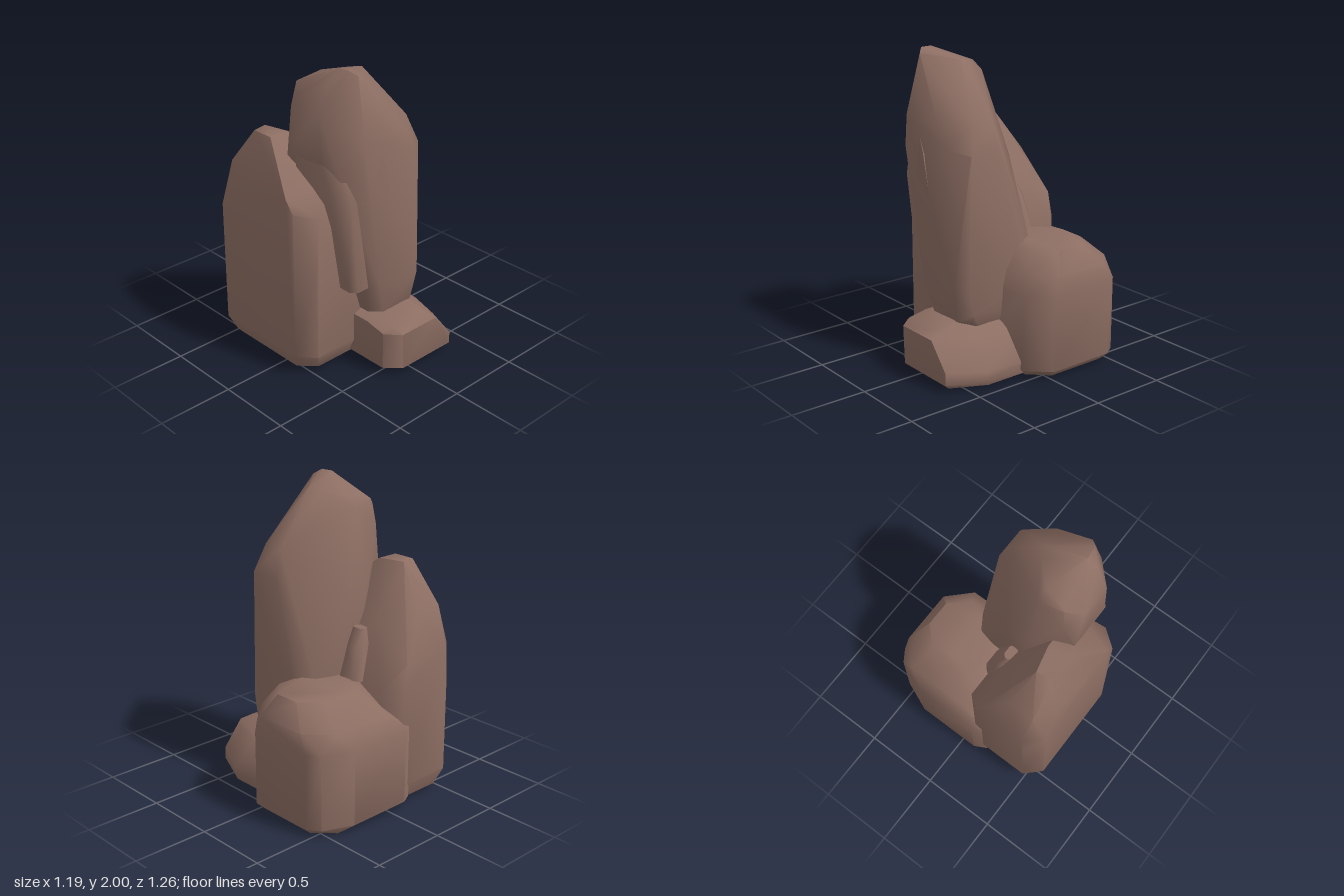
import * as THREE from 'three';
import { ConvexGeometry } from 'three/addons/geometries/ConvexGeometry.js';
import { toCreasedNormals } from 'three/addons/utils/BufferGeometryUtils.js';

const stone = new THREE.MeshStandardMaterial({ color: 0x8d6e63 });
stone.name = 'brown stone';

// Chamfered rectangle at height y
function ring([y, x0, x1, z0, z1, c]) {
  return [
    [x0 + c, y, z0], [x1 - c, y, z0], [x1, y, z0 + c], [x1, y, z1 - c],
    [x1 - c, y, z1], [x0 + c, y, z1], [x0, y, z1 - c], [x0, y, z0 + c],
  ];
}

// Hewn rock: hull of chamfered rings and single corner points, softened edges
function rock(name, rings, corners) {
  const points = [...rings.flatMap(ring), ...corners].map((p) => new THREE.Vector3(...p));
  const mesh = new THREE.Mesh(toCreasedNormals(new ConvexGeometry(points), 0.9), stone);
  mesh.name = name;
  return mesh;
}

export function createModel() {
  const group = new THREE.Group();
  group.name = 'rockCluster';

  // Tall leaning pillar
  group.add(rock('pillar', [
    [0.36, -0.14, 0.24, -0.08, 0.42, 0.07],
    [0.57, -0.2, 0.26, -0.12, 0.455, 0.07],
  ], [
    [-0.02, 0.28, 0], [0.2, 0.28, 0], [0.22, 0.29, 0.28], [0.26, 0.42, 0.36],
    // widest part
    [0.26, 0.82, -0.03], [0.2, 0.8, -0.13], [0.04, 0.9, -0.17], [-0.15, 0.98, -0.17],
    [-0.05, 1.3, -0.17], [-0.2, 1.3, -0.17],
    [0.26, 1.42, 0.16], [0.26, 1.42, 0.37], [0.14, 1.45, 0.455],
    [-0.45, 1.42, -0.03], [-0.45, 1.45, 0.27], [-0.4, 1.42, 0.36], [-0.3, 1.4, 0.455],
    // shoulders
    [-0.28, 1.6, 0.455], [0.05, 1.58, 0.455], [0.21, 1.6, 0.17], [0.2, 1.6, 0.32],
    [-0.45, 1.8, 0.03], [-0.45, 1.78, 0.25], [-0.38, 1.7, -0.07], [-0.2, 1.83, -0.07],
    // crown
    [-0.3, 2.0, 0.25], [-0.29, 2.0, 0.33], [-0.25, 1.97, 0.37], [-0.37, 1.93, 0.26],
    [-0.06, 1.94, 0.2], [-0.08, 1.92, 0.12], [-0.2, 1.9, 0.0], [-0.36, 1.86, -0.04],
  ]));

  // Slab merging into the pillar's side, ending in a step
  group.add(rock('pillarSlab', [
    [0.57, -0.31, -0.1, -0.03, 0.4, 0.04],
    [1.2, -0.41, -0.1, -0.06, 0.415, 0.06],
    [1.42, -0.452, -0.1, -0.04, 0.37, 0.09],
  ], [[-0.42, 1.7, 0.2], [-0.42, 1.7, 0.05]]));

  // Raised sliver on the pillar's front
  group.add(rock('pillarRidge', [], [
    [-0.2, 1.61, 0.445], [-0.04, 1.02, 0.45], [-0.1, 1.38, 0.463],
    [-0.13, 1.25, 0.463], [-0.28, 1.2, 0.44], [-0.1, 1.38, 0.42],
  ]));

  // Medium rock behind on the right
  group.add(rock('mediumRock', [
    [0.14, -0.6, -0.01, -0.6, 0.28, 0.1],
    [0.03, -0.55, -0.02, -0.56, 0.23, 0.1],
    [0.78, -0.6, -0.01, -0.6, 0.28, 0.1],
  ], [
    [-0.6, 0.97, -0.5], [-0.48, 0.98, -0.6], [-0.14, 0.95, -0.59],
    [-0.6, 1.22, -0.14], [-0.6, 1.22, 0.12], [-0.6, 1.14, 0.18], [-0.57, 1.22, -0.36],
    [-0.48, 1.1, 0.28], [-0.5, 1.24, -0.51], [-0.32, 1.24, -0.5],
    [-0.48, 1.5, -0.15], [-0.48, 1.5, -0.3], [-0.38, 1.5, -0.32], [-0.34, 1.5, -0.15],
    [-0.3, 1.28, 0.2], [-0.15, 1.15, -0.3], [-0.25, 1.22, -0.42], [-0.17, 0.99, -0.53],
  ]));

  // Small knob on the medium rock
  group.add(rock('knob', [
    [0.8, -0.12, 0.035, -0.33, -0.14, 0.04],
    [1.0, -0.14, -0.02, -0.3, -0.15, 0.04],
    [1.11, -0.14, -0.08, -0.26, -0.16, 0.02],
  ], []));

  // Broad low boulder, with a wider bevel at its back corner
  group.add(rock('lowBoulder', [
    [0, -0.17, 0.54, -0.57, 0.08, 0.12],
    [0.66, -0.14, 0.585, -0.57, 0.1, 0.15],
    [0.8, -0.02, 0.5, -0.41, 0.0, 0.12],
  ], [
    ...[0.05, 0.54].flatMap((y) => [
      [-0.18, y, -0.59], [-0.1, y, -0.632], [0.34, y, -0.632], [0.54, y, -0.55],
      [0.592, y, -0.47], [0.592, y, -0.01], [0.46, y, 0.13], [-0.1, y, 0.13], [-0.19, y, 0.05],
    ]),
    [0.25, 0.82, -0.38], [0.25, 0.82, -0.06], [0.05, 0.815, -0.25],
  ]));

  // Flat stone at the front
  group.add(rock('frontStone', [], [
    [-0.19, 0.05, 0.54], [-0.1, 0.05, 0.632], [0.33, 0.05, 0.632], [0.33, 0.13, 0.632],
    [0.44, 0.06, 0.39], [0.44, 0.11, 0.39], [0.44, 0.11, 0.05],
    [-0.16, 0.02, 0.5], [-0.08, 0.02, 0.59], [0.32, 0.02, 0.6], [0.43, 0.02, 0.38], [0.43, 0.02, 0.0],
    [-0.19, 0.05, 0.0], [-0.16, 0.02, 0.0],
    [-0.19, 0.3, 0.54], [-0.11, 0.3, 0.632], [0.19, 0.3, 0.632], [-0.19, 0.33, 0.4], [-0.19, 0.33, 0.05],
    [-0.12, 0.34, 0.57], [0.14, 0.34, 0.57], [-0.1, 0.36, 0.4], [0.15, 0.37, 0.38], [0.13, 0.36, 0.05],
    [0.3, 0.28, 0.35], [0.3, 0.29, 0.05], [0.24, 0.28, 0.56],
  ]));

  return group;
}
